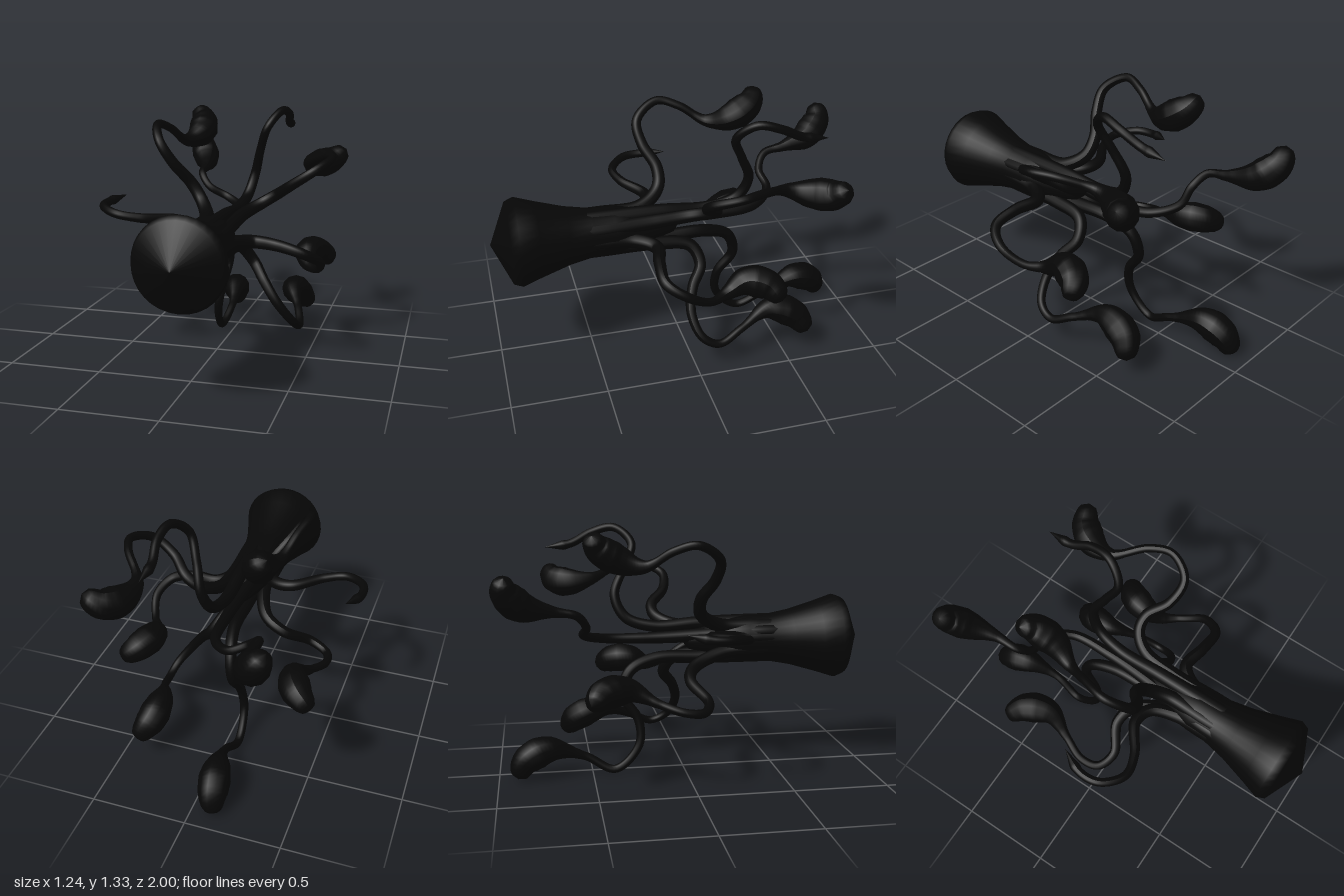
import * as THREE from 'three';

const black = new THREE.MeshStandardMaterial({ color: 0x060606 });
black.name = 'black';

const CX = 0.057, CY = 0.713; // axis of the body

// [distance from tip, radius] of a swollen club and of a pointed hook
const CLUB = [[0, 0], [0.008, 0.036], [0.04, 0.057], [0.11, 0.078], [0.18, 0.084], [0.25, 0.07], [0.32, 0.045], [0.38, 0.029], [0.44, 0.022]];
const HOOK = [[0, 0], [0.1, 0.027], [0.13, 0.023], [0.4, 0.023]];

function sample(profile, d) {
  for (let i = 1; i < profile.length; i++) {
    const [d0, r0] = profile[i - 1], [d1, r1] = profile[i];
    if (d <= d1) return r0 + (r1 - r0) * (d - d0) / (d1 - d0);
  }
  return profile[profile.length - 1][1];
}

// Tube along a curve whose radius follows the tip profile and thickens to the root
function tentacle(name, degrees, tip, path) {
  const a = degrees * Math.PI / 180;
  const root = [[0.085, 0.62], [0.09, 0.42]].map(([r, z]) =>
    new THREE.Vector3(CX + r * Math.cos(a), CY + r * Math.sin(a), z));
  const curve = new THREE.CatmullRomCurve3([...root, ...path.map(p => new THREE.Vector3(...p))]);
  curve.arcLengthDivisions = 600;
  const length = curve.getLength(), n = 120, sides = 12;
  const geo = new THREE.TubeGeometry(curve, n, 1, sides);
  const pos = geo.attributes.position, v = new THREE.Vector3();
  for (let i = 0; i <= n; i++) {
    const c = curve.getPointAt(i / n);
    const d = length * (1 - i / n);
    const thick = 0.026 * THREE.MathUtils.clamp(1 - (i / n) / 0.65, 0, 1);
    const r = sample(tip, d) + thick;
    for (let j = 0; j <= sides; j++) {
      const k = i * (sides + 1) + j;
      v.fromBufferAttribute(pos, k).sub(c).multiplyScalar(r).add(c);
      pos.setXYZ(k, v.x, v.y, v.z);
    }
  }
  geo.computeVertexNormals();
  const mesh = new THREE.Mesh(geo, black);
  mesh.name = name;
  return mesh;
}

export function createModel() {
  const group = new THREE.Group();
  group.name = 'tentacledStalk';

  // Flared stalk with a conical face pointing to +z
  const profile = [[0, 0.0], [0.05, 0.04], [0.08, 0.15], [0.115, 0.28], [0.128, 0.36], [0.13, 0.48], [0.155, 0.61],
    [0.2, 0.76], [0.233, 0.86], [0.215, 0.905], [0, 1]];
  const body = new THREE.Mesh(
    new THREE.LatheGeometry(profile.map(([r, z]) => new THREE.Vector2(r, z)), 32), black);
  body.rotation.x = Math.PI / 2;
  body.position.set(CX, CY, 0);
  body.name = 'stalk';
  group.add(body);

  // Tentacles around the stalk
  group.add(
    tentacle('topHookTentacle', 75, HOOK, [[0.08, 0.8, 0.1], [0.08, 0.79, -0.15], [0.1, 0.84, -0.3], [0.13, 0.96, -0.355],
      [0.17, 1.1, -0.3], [0.22, 1.23, -0.25], [0.28, 1.315, -0.34], [0.3, 1.29, -0.46], [0.28, 1.23, -0.58], [0.285, 1.21, -0.72]]),
    tentacle('upperLeftTentacle', 32, CLUB, [[0.13, 0.77, 0.15], [0.15, 0.79, -0.04], [0.22, 0.83, -0.125], [0.3, 0.88, -0.13],
      [0.4, 0.95, -0.05], [0.52, 1.03, -0.04], [0.59, 1.08, -0.16], [0.55, 1.08, -0.28], [0.43, 1.02, -0.45],
      [0.45, 0.995, -0.58], [0.52, 1.01, -0.67], [0.6, 1.07, -0.7]]),
    tentacle('leftTentacle', -8, CLUB, [[0.16, 0.69, 0.27], [0.24, 0.68, 0.17], [0.38, 0.67, 0.19], [0.52, 0.63, 0.19],
      [0.58, 0.57, 0.09], [0.54, 0.5, -0.04], [0.48, 0.5, -0.14], [0.46, 0.54, -0.25], [0.51, 0.52, -0.36], [0.585, 0.47, -0.4]]),
    tentacle('lowerLeftTentacle', -55, CLUB, [[0.11, 0.63, 0.15], [0.13, 0.6, -0.04], [0.19, 0.51, -0.08], [0.26, 0.42, -0.02],
      [0.34, 0.31, 0.01], [0.42, 0.2, -0.03], [0.44, 0.155, -0.12], [0.41, 0.21, -0.25], [0.35, 0.27, -0.42],
      [0.36, 0.22, -0.56], [0.42, 0.13, -0.63]]),
    tentacle('bottomTentacle', -100, CLUB, [[0.04, 0.62, 0.1], [0.03, 0.62, -0.15], [0.0, 0.56, -0.29], [-0.02, 0.43, -0.33],
      [-0.04, 0.3, -0.25], [-0.06, 0.16, -0.25], [-0.07, 0.035, -0.38], [-0.05, 0.11, -0.54], [-0.08, 0.165, -0.74],
      [-0.1, 0.11, -0.86], [-0.11, 0.02, -0.9]]),
    tentacle('lowerRightTentacle', 210, CLUB, [[-0.02, 0.65, 0.22], [-0.09, 0.59, 0.05], [-0.2, 0.54, 0.01], [-0.34, 0.46, 0.08],
      [-0.44, 0.43, 0.04], [-0.46, 0.44, -0.06], [-0.41, 0.48, -0.19], [-0.36, 0.54, -0.33], [-0.41, 0.54, -0.46], [-0.5, 0.5, -0.53]]),
    tentacle('rightHookTentacle', 170, HOOK, [[-0.04, 0.73, 0.3], [-0.1, 0.75, 0.16], [-0.2, 0.765, 0.13], [-0.36, 0.785, 0.23],
      [-0.48, 0.805, 0.255], [-0.585, 0.825, 0.17], [-0.6, 0.83, 0.06], [-0.545, 0.85, -0.07]]),
    tentacle('upperRightTentacle', 150, CLUB, [[0.03, 0.74, 0.1], [0.05, 0.73, -0.2], [0.03, 0.74, -0.43], [-0.08, 0.78, -0.54],
      [-0.19, 0.84, -0.53], [-0.25, 0.91, -0.58], [-0.26, 0.935, -0.7], [-0.3, 0.97, -0.85], [-0.35, 1.05, -0.93], [-0.395, 1.125, -0.93]]),
    tentacle('topRightTentacle', 125, CLUB, [[0.0, 0.8, 0.2], [-0.06, 0.87, 0.09], [-0.12, 0.96, 0.08], [-0.2, 1.07, 0.14],
      [-0.27, 1.18, 0.15], [-0.32, 1.26, 0.03], [-0.29, 1.23, -0.09], [-0.24, 1.15, -0.23], [-0.19, 1.18, -0.36],
      [-0.21, 1.25, -0.47], [-0.26, 1.31, -0.5]])
  );
  return group;
}
